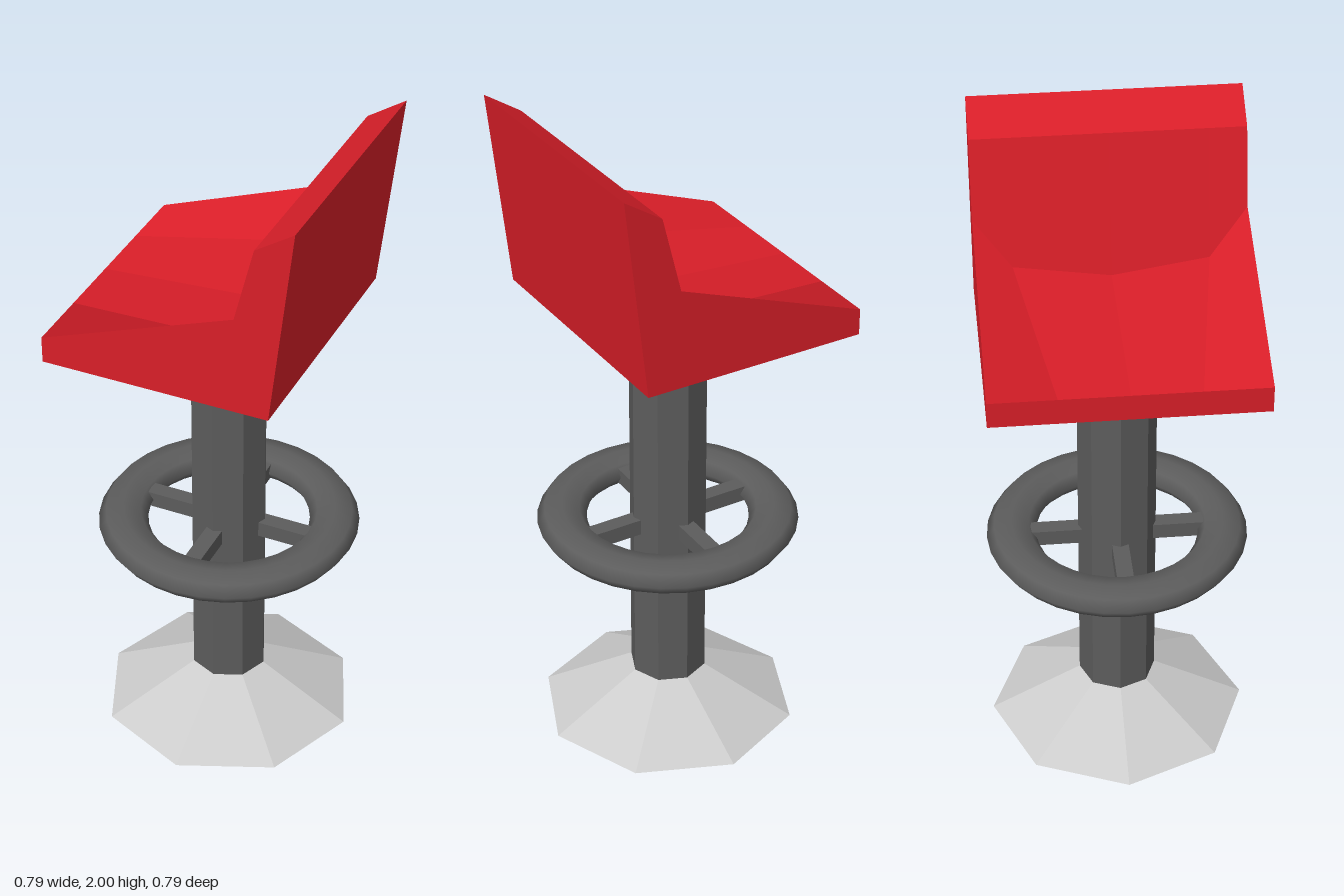
import * as THREE from 'three';

const red = new THREE.MeshStandardMaterial({ color: 0xd81e28, side: THREE.DoubleSide });
const dark = new THREE.MeshStandardMaterial({ color: 0x5c5c5c, flatShading: true });
const darkSmooth = new THREE.MeshStandardMaterial({ color: 0x5c5c5c });
const grey = new THREE.MeshStandardMaterial({ color: 0xcccccc, flatShading: true });

function part(name, geometry, material, y = 0) {
  const mesh = new THREE.Mesh(geometry, material);
  mesh.name = name;
  mesh.position.y = y;
  return mesh;
}

// Cross-section of the seat: underside, backrest, then the hollowed seat top
function section(zFront, zBack, creaseX, creaseY) {
  return [
    [-0.395, 1.395, zFront], [0.295, 1.395, zBack], [0.365, 2, zBack],
    [0.25, 1.925, zBack], [creaseX, creaseY, zBack], [-0.395, 1.475, zFront],
  ].map((p) => new THREE.Vector3(...p));
}

function seatGeometry() {
  const rings = [
    section(-0.395, -0.395, 0.192, 1.695),
    section(-0.2, -0.285, 0.163, 1.55),
    section(0, 0, 0.155, 1.51),
    section(0.2, 0.285, 0.163, 1.55),
    section(0.395, 0.395, 0.192, 1.695),
  ];
  const positions = [], normals = [];
  const tri = (a, b, c, n) => {
    for (const p of [a, b, c]) {
      positions.push(p.x, p.y, p.z);
      normals.push(n.x, n.y, n.z);
    }
  };
  // One flat normal for the whole quad, even where it is slightly twisted
  const quad = (a, b, c, d) => {
    const n = c.clone().sub(a).cross(d.clone().sub(b)).normalize();
    tri(a, b, c, n);
    tri(a, c, d, n);
  };
  for (let i = 0; i < 4; i++) {
    for (let j = 0; j < 6; j++) {
      const k = (j + 1) % 6;
      const q = [rings[i][j], rings[i][k], rings[i + 1][k], rings[i + 1][j]];
      if (i < 2) q.push(q.shift()); // mirror the diagonal on the other half
      quad(...q);
    }
  }
  // Side faces
  const front = new THREE.Vector3(0, 0, 1), back = new THREE.Vector3(0, 0, -1);
  for (const [a, b, c] of [[0, 1, 4], [0, 4, 5], [1, 2, 3], [1, 3, 4]]) {
    tri(rings[4][a], rings[4][b], rings[4][c], front);
    tri(rings[0][c], rings[0][b], rings[0][a], back);
  }
  const g = new THREE.BufferGeometry();
  g.setAttribute('position', new THREE.Float32BufferAttribute(positions, 3));
  g.setAttribute('normal', new THREE.Float32BufferAttribute(normals, 3));
  return g;
}

export function createModel() {
  const stool = new THREE.Group();
  stool.name = 'barStool';

  // Flared foot and column, both octagonal
  stool.add(part('base', new THREE.CylinderGeometry(0.118, 0.395, 0.15, 8), grey, 0.075));
  stool.add(part('column', new THREE.CylinderGeometry(0.118, 0.118, 1.25, 8), dark, 0.77));

  // Flattened foot ring on four spokes
  const footrest = new THREE.Group();
  footrest.name = 'footrest';
  footrest.position.y = 0.695;
  const ring = new THREE.TorusGeometry(0.32, 0.075, 8, 32);
  ring.scale(1, 1, 0.61).rotateX(Math.PI / 2);
  footrest.add(part('footRing', ring, darkSmooth));
  for (let i = 0; i < 4; i++) {
    const spoke = new THREE.BoxGeometry(0.2, 0.05, 0.05);
    spoke.translate(0.19, 0, 0).rotateY(i * Math.PI / 2);
    footrest.add(part('spoke', spoke, dark));
  }
  stool.add(footrest);

  // Seat with backrest
  stool.add(part('seat', seatGeometry(), red));
  return stool;
}
